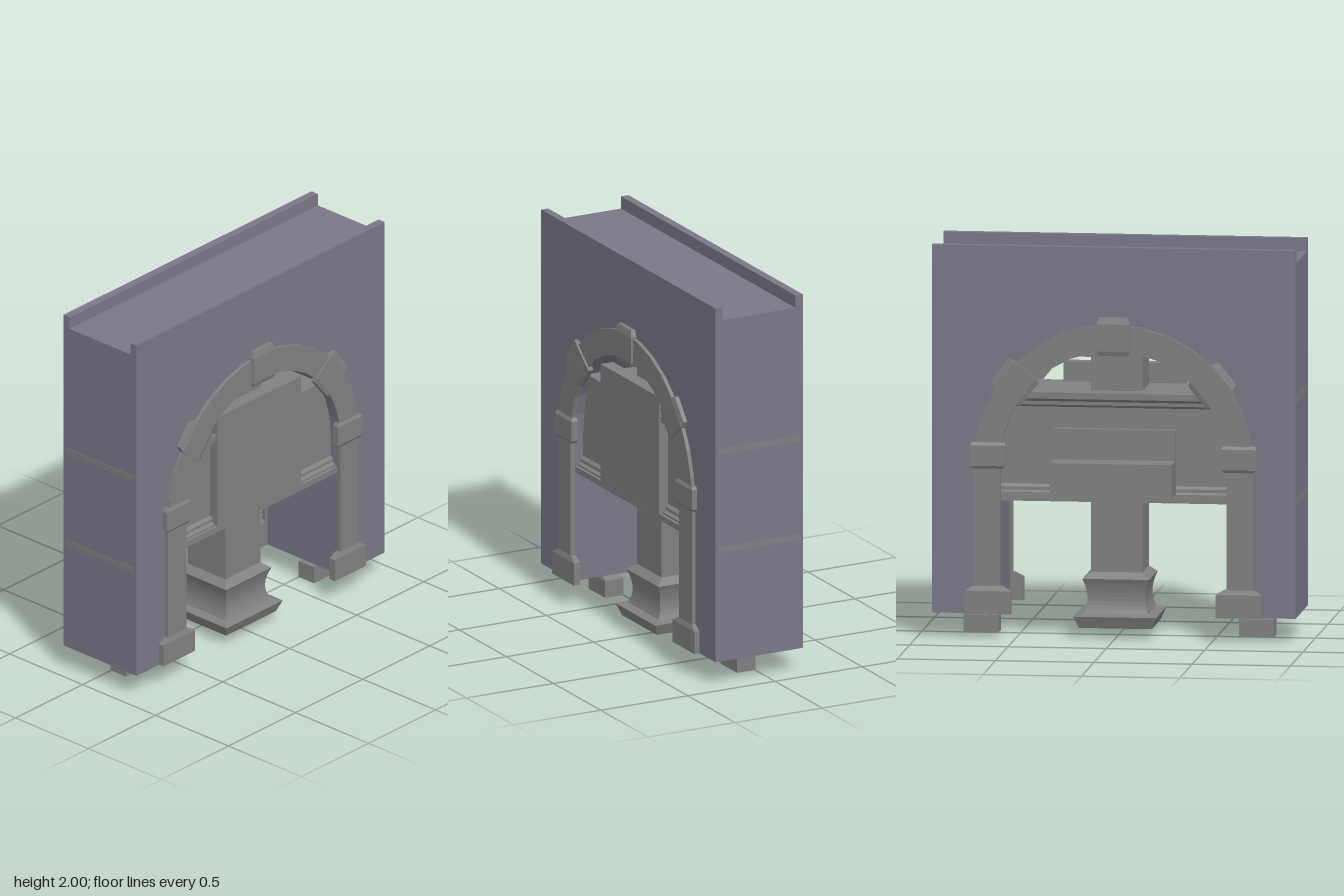
import * as THREE from 'three';

const stone = new THREE.MeshStandardMaterial({ color: 0x808080, flatShading: true });
const wallMat = new THREE.MeshStandardMaterial({ color: 0x7b7788, flatShading: true });
const MID = 0.05;      // middle of the wall's depth
const SPRING = 0.9;    // height where the arch begins

function add(parent, name, geo, mat = stone) {
  const m = new THREE.Mesh(geo, mat);
  m.name = name;
  parent.add(m);
  return m;
}

// Box given by its limits on each axis
function box(parent, name, x0, x1, y0, y1, z0, z1, mat) {
  const m = add(parent, name, new THREE.BoxGeometry(x1 - x0, y1 - y0, z1 - z0), mat);
  m.position.set((x0 + x1) / 2, (y0 + y1) / 2, (z0 + z1) / 2);
  return m;
}

// Four-sided solid through rows of [halfWidth, y, front, back], listed upwards
function stack(parent, name, rows) {
  const n = rows.length - 1;
  const geo = new THREE.BoxGeometry(2, n, 2, 1, n, 1);
  const p = geo.attributes.position;
  for (let i = 0; i < p.count; i++) {
    const [half, y, front, back = -front] = rows[Math.round(p.getY(i) + n / 2)];
    p.setXYZ(i, Math.sign(p.getX(i)) * half, y, p.getZ(i) > 0 ? front : back);
  }
  return add(parent, name, geo);
}

// Outline of an arched doorway with straight legs down to y
function archPath(path, r, y) {
  path.moveTo(r, y);
  path.lineTo(r, SPRING);
  path.absarc(0, SPRING, r, 0, Math.PI, false);
  path.lineTo(-r, y);
  return path;
}

// Stone surround for one face of the wall; z is measured from the wall's middle
function archTrim() {
  const g = new THREE.Group();
  g.name = 'archSurround';
  const z0 = 0.245;
  const s = archPath(new THREE.Shape(), 0.71, 0.13);
  s.lineTo(-0.575, 0.13);
  s.lineTo(-0.575, SPRING);
  s.absarc(0, SPRING, 0.575, Math.PI, 0, true);
  s.lineTo(0.575, 0.13);
  const geo = new THREE.ExtrudeGeometry(s, { depth: 0.27 - z0, bevelEnabled: false, curveSegments: 8 });
  geo.translate(0, 0, z0);
  add(g, 'archBand', geo);

  for (const side of [-1, 1]) {
    stack(g, 'plinth', [[0.117, 0.125, 0.28, z0], [0.117, 0.243, 0.28, z0], [0.072, 0.268, 0.271, z0]])
      .position.x = side * 0.638;
    stack(g, 'impost', [[0.075, 0.866, 0.272, z0], [0.091, 0.88, 0.28, z0],
      [0.091, 0.985, 0.28, z0], [0.08, 1.0, 0.272, z0]])
      .position.x = side * 0.638;
  }

  // Keystone at the crown and one on each shoulder
  for (const a of [-51, 0, 51]) {
    const key = stack(g, 'keystone', [[0.072, 0.55, 0.272, z0], [0.085, 0.573, 0.28, z0],
      [0.085, 0.712, 0.28, z0], [0.07, 0.745, 0.272, z0]]);
    key.position.y = SPRING;
    key.rotation.z = THREE.MathUtils.degToRad(a);
  }
  return g;
}

export function createModel() {
  const model = new THREE.Group();
  model.name = 'archedWall';

  // Wall with an arched opening and a channel along its top
  const outline = archPath(new THREE.Shape(), 0.59, 0.125);
  for (const [x, y] of [[-0.925, 0.125], [-0.925, 1.935], [0.925, 1.935], [0.925, 0.125]]) outline.lineTo(x, y);
  const wall = new THREE.ExtrudeGeometry(outline, { depth: 0.5, bevelEnabled: false, curveSegments: 8 });
  wall.translate(0, 0, -0.2);
  add(model, 'wall', wall, wallMat);
  box(model, 'frontParapet', -0.925, 0.925, 1.935, 2, 0.26, 0.3, wallMat);
  box(model, 'backParapet', -0.925, 0.925, 1.935, 2, -0.2, -0.157, wallMat);

  // Matching stone surrounds on front and back
  for (const turn of [0, Math.PI]) {
    const trim = archTrim();
    trim.position.z = MID;
    trim.rotation.y = turn;
    model.add(trim);
  }

  // Panel across the opening, moulded along its lower and upper edges
  const profile = [[0.73, 0.22], [0.742, 0.22], [0.752, 0.205], [0.768, 0.205], [0.782, 0.19],
    [1.176, 0.19], [1.188, 0.205], [1.206, 0.205], [1.222, 0.228]];
  stack(model, 'panel', profile.map(([y, d]) => [0.6, y, d])).position.z = MID;
  for (const y of [0.7, 1.222]) {
    box(model, 'panelLedge', -0.927, 0.927, y, y + 0.032, MID - 0.235, MID + 0.235);
  }

  // Board on the front, counter and upstand on the back
  box(model, 'frontBoard', -0.31, 0.31, 0.737, 1.355, 0.22, 0.292);
  box(model, 'backCounter', -0.31, 0.31, 0.74, 0.915, -0.33, -0.14);
  box(model, 'backUpstand', -0.31, 0.31, 0.74, 1.07, -0.18, -0.13);

  // Square pier through the panel up to the arch, with a tie bar
  box(model, 'pier', -0.13, 0.13, 0.32, 1.5, MID - 0.13, MID + 0.13);
  box(model, 'tieBar', -0.32, 0.32, 1.41, 1.44, MID - 0.03, MID + 0.03);

  // Pier base: splayed foot, hollow waist and chamfered cap
  const waist = new THREE.QuadraticBezierCurve(
    new THREE.Vector2(0.165, 0.122), new THREE.Vector2(0.126, 0.2), new THREE.Vector2(0.17, 0.298));
  const base = [[0.185, 0.05], [0.21, 0.11], ...waist.getPoints(8).map((v) => [v.x, v.y]), [0.13, 0.33]];
  stack(model, 'pierBase', base.map(([h, y]) => [h, y, h])).position.z = MID;

  // Feet under the two wall ends
  for (const side of [-1, 1]) {
    const foot = new THREE.Group();
    foot.name = 'foot';
    foot.position.set(side * 0.7, 0, MID);
    stack(foot, 'footPad', [[0.088, 0, 0.053], [0.088, 0.09, 0.053], [0.05, 0.108, 0.045]]);
    box(foot, 'footStem', -0.05, 0.05, 0.106, 0.127, -0.09, 0.09);
    model.add(foot);
  }
  return model;
}
